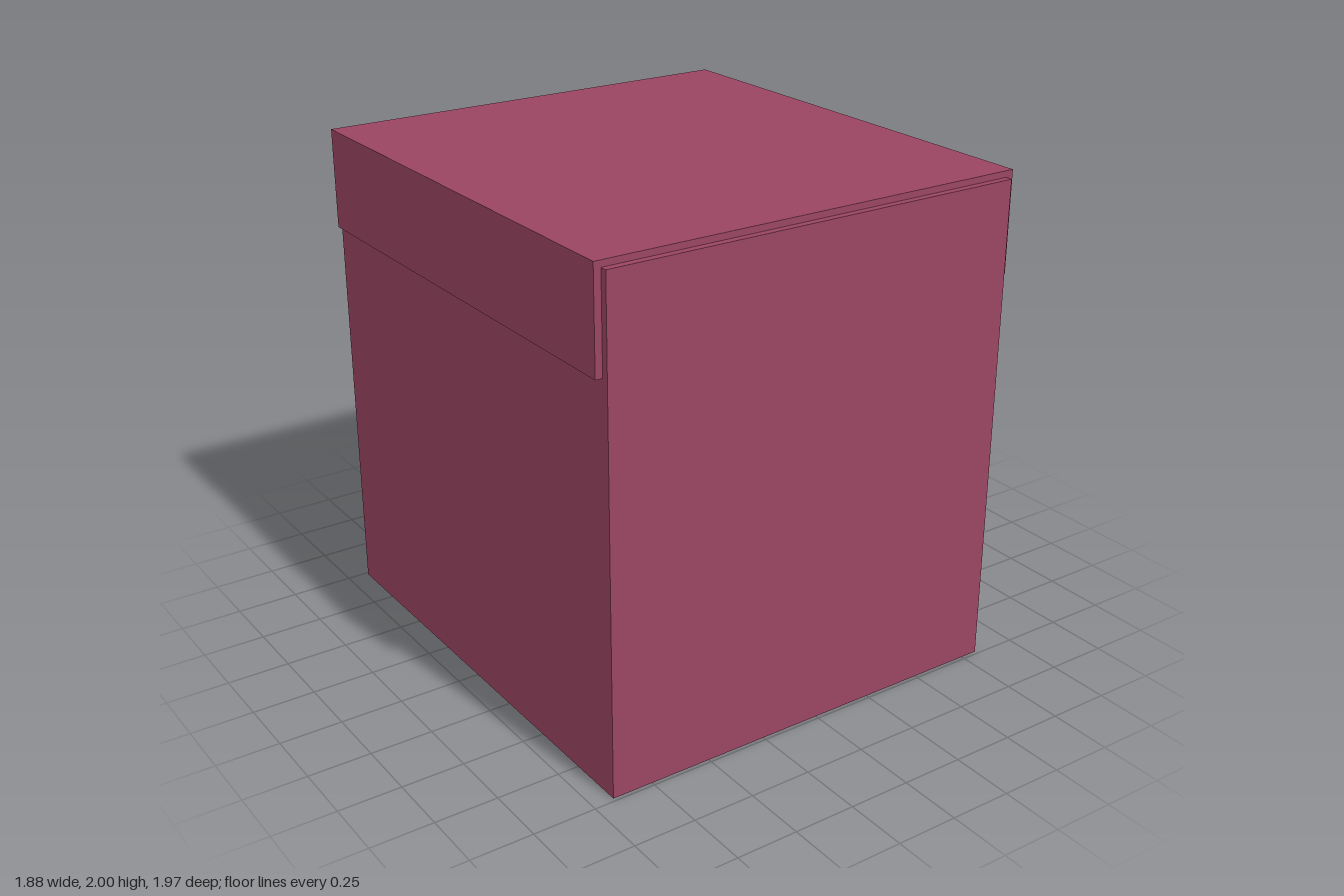
import * as THREE from 'three';

const crimson = new THREE.MeshStandardMaterial({ color: 0x9b4562 });
crimson.name = 'crimson';
const palePink = new THREE.MeshStandardMaterial({ color: 0xc9b0b6 });
palePink.name = 'pale pink';

// Box given by its lower and upper corners
function block(name, [x0, y0, z0], [x1, y1, z1], material) {
  const mesh = new THREE.Mesh(new THREE.BoxGeometry(x1 - x0, y1 - y0, z1 - z0), material);
  mesh.name = name;
  mesh.position.set((x0 + x1) / 2, (y0 + y1) / 2, (z0 + z1) / 2);
  return mesh;
}

export function createModel() {
  const chest = new THREE.Group();
  chest.name = 'chest';
  chest.add(
    // Main container, slightly deeper than the lid
    block('body', [-0.915, 0, -0.985], [0.822, 1.975, 0.985], crimson),
    // Lid overhanging the two sides
    block('lid', [-0.943, 1.6, -0.957], [0.853, 2, 0.957], crimson),
    // Square latch on the left side
    block('latch', [0.815, 0.93, -0.232], [0.939, 1.392, 0.232], palePink)
  );
  return chest;
}
